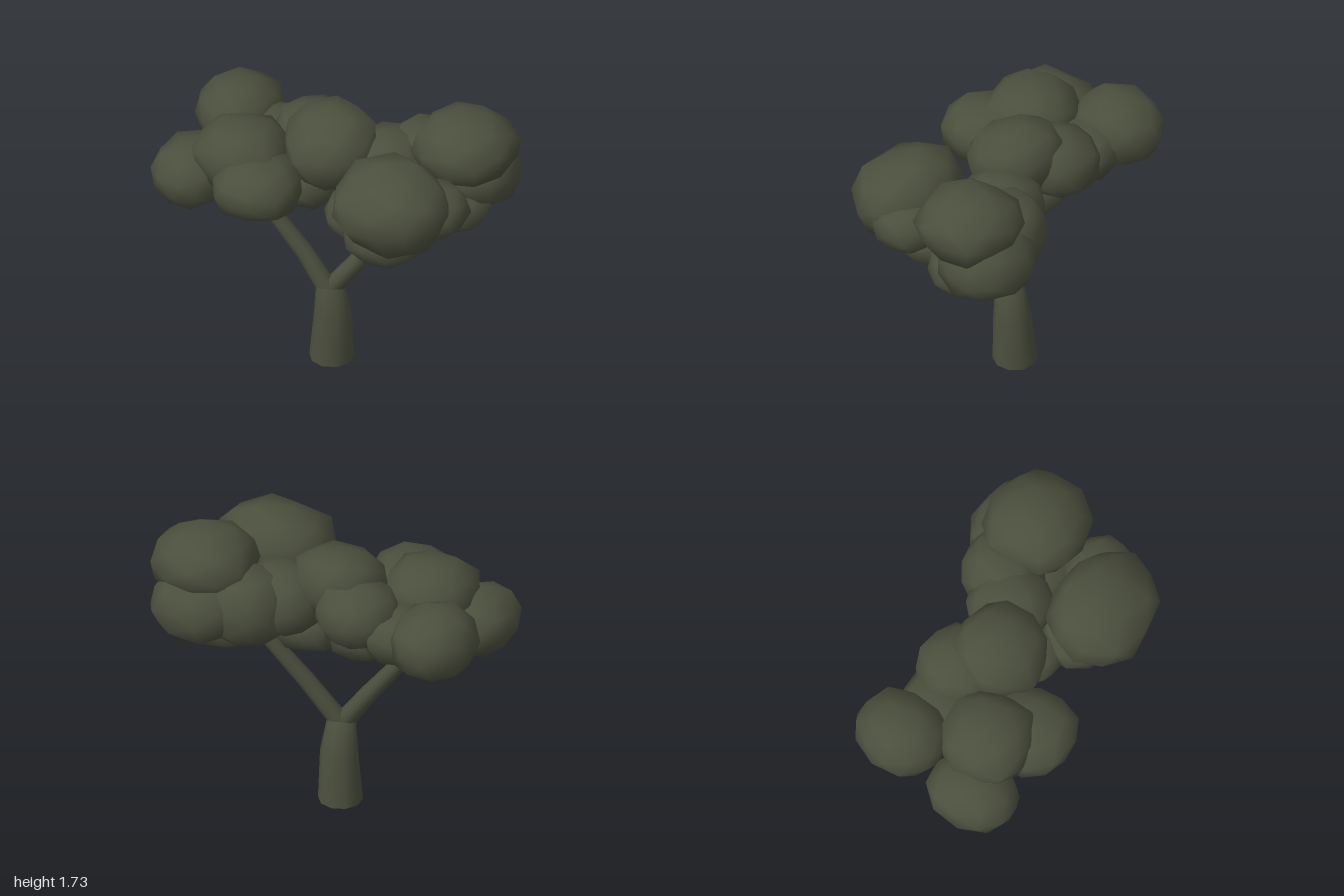
import * as THREE from 'three';
import { mergeVertices } from 'three/addons/utils/BufferGeometryUtils.js';

// small seeded generator
function seeded(seed) {
  let s = seed * 7919 + 17;
  return () => ((s = (s * 16807) % 2147483647) / 2147483647);
}

// lumpy, slightly boxy low-poly ellipsoid with smooth normals
function clumpGeometry(rx, ry, rz, seed) {
  let g = new THREE.IcosahedronGeometry(1, 1);
  g.deleteAttribute('normal');
  g.deleteAttribute('uv');
  g = mergeVertices(g, 1e-3);
  const rand = seeded(seed);
  for (let i = 0; i < 5; i++) rand();
  g.rotateX(rand() * 3);
  g.rotateY(rand() * 3);
  const p = g.attributes.position;
  const power = 2.4;
  for (let i = 0; i < p.count; i++) {
    const [x, y, z] = [p.getX(i), p.getY(i), p.getZ(i)];
    const norm = (Math.abs(x) ** power + Math.abs(y) ** power + Math.abs(z) ** power) ** (1 / power);
    const k = (0.95 + rand() * 0.12) / norm;
    p.setXYZ(i, x * k * rx, y * k * ry, z * k * rz);
  }
  g.computeVertexNormals();
  return g;
}

// open tapered limb through rings of [x, y, z, radius], each ring horizontal or tilted to the path
function limbGeometry(rings, sides, tilted) {
  const pos = [], idx = [];
  const pts = rings.map(r => new THREE.Vector3(r[0], r[1], r[2]));
  const up = new THREE.Vector3(0, 1, 0);
  rings.forEach((r, i) => {
    const dir = pts[Math.min(i + 1, pts.length - 1)].clone().sub(pts[Math.max(i - 1, 0)]).normalize();
    const q = new THREE.Quaternion().setFromUnitVectors(up, tilted ? dir : up);
    for (let j = 0; j < sides; j++) {
      const a = (j / sides) * Math.PI * 2;
      const v = new THREE.Vector3(Math.sin(a) * r[3], 0, Math.cos(a) * r[3]).applyQuaternion(q).add(pts[i]);
      pos.push(v.x, v.y, v.z);
      if (i > 0) {
        const k = (j + 1) % sides, b = (i - 1) * sides, t = i * sides;
        idx.push(b + j, b + k, t + k, b + j, t + k, t + j);
      }
    }
  });
  const g = new THREE.BufferGeometry();
  g.setAttribute('position', new THREE.Float32BufferAttribute(pos, 3));
  g.setIndex(idx);
  g.computeVertexNormals();
  return g;
}

export function createModel() {
  const tree = new THREE.Group();
  tree.name = 'tree';
  const olive = new THREE.MeshStandardMaterial({ color: 0x4b4f3d, side: THREE.DoubleSide });
  olive.name = 'dark olive';

  const add = (parent, name, geometry) => {
    const m = new THREE.Mesh(geometry, olive);
    m.name = name;
    parent.add(m);
    return m;
  };

  // trunk, closing in at the fork
  add(tree, 'trunk', limbGeometry([
    [-0.04, 0, -0.037, 0.129],
    [-0.027, 0.31, -0.027, 0.109],
    [-0.033, 0.51, -0.005, 0.083],
    [-0.033, 0.515, -0.005, 0.001],
  ], 10, false));

  // two forked branches
  add(tree, 'rightBranch', limbGeometry([
    [-0.03, 0.47, 0.01, 0.06],
    [-0.19, 0.7, 0.015, 0.052],
    [-0.36, 0.92, 0.04, 0.046],
    [-0.56, 1.24, 0.05, 0.034],
  ], 8, true));
  add(tree, 'leftBranch', limbGeometry([
    [-0.03, 0.48, 0.0, 0.058],
    [0.16, 0.74, -0.05, 0.052],
    [0.36, 1.0, -0.11, 0.046],
    [0.48, 1.22, -0.14, 0.034],
  ], 8, true));

  // foliage clumps: centre x, y, z, radii x, y, z, then optional forward and sideways tilt
  const canopies = {
    rightCanopy: [
      [-0.73, 1.35, -0.27, 0.235, 0.20, 0.27],
      [-0.775, 1.23, 0.23, 0.225, 0.18, 0.27],
      [-0.51, 1.38, 0.17, 0.275, 0.20, 0.27],
      [-0.325, 1.305, 0.345, 0.25, 0.17, 0.26],
      [-0.22, 1.38, -0.20, 0.235, 0.185, 0.24],
      [-0.04, 1.45, -0.03, 0.265, 0.205, 0.275, 0.35],
      [-0.21, 1.17, -0.05, 0.21, 0.16, 0.22],
      [-0.48, 1.29, -0.19, 0.23, 0.15, 0.23],
    ],
    leftCanopy: [
      [0.71, 1.53, -0.24, 0.29, 0.195, 0.285],
      [0.70, 1.31, -0.35, 0.28, 0.205, 0.265],
      [0.42, 1.325, -0.30, 0.235, 0.225, 0.24],
      [0.265, 1.33, -0.15, 0.235, 0.205, 0.245],
      [0.505, 1.39, 0.325, 0.345, 0.23, 0.295, 0.28],
      [0.42, 1.11, 0.20, 0.25, 0.16, 0.24],
      [0.70, 1.34, 0.18, 0.20, 0.145, 0.19],
      [0.62, 1.15, -0.19, 0.255, 0.155, 0.225],
      [0.19, 1.08, 0.04, 0.21, 0.155, 0.20],
    ],
  };
  let seed = 1;
  for (const [name, clumps] of Object.entries(canopies)) {
    const canopy = new THREE.Group();
    canopy.name = name;
    for (const [x, y, z, rx, ry, rz, forward = 0, sideways = 0] of clumps) {
      const clump = add(canopy, 'foliageClump', clumpGeometry(rx, ry, rz, seed++));
      clump.position.set(x, y, z);
      clump.rotation.set(forward, 0, sideways);
    }
    tree.add(canopy);
  }
  return tree;
}
